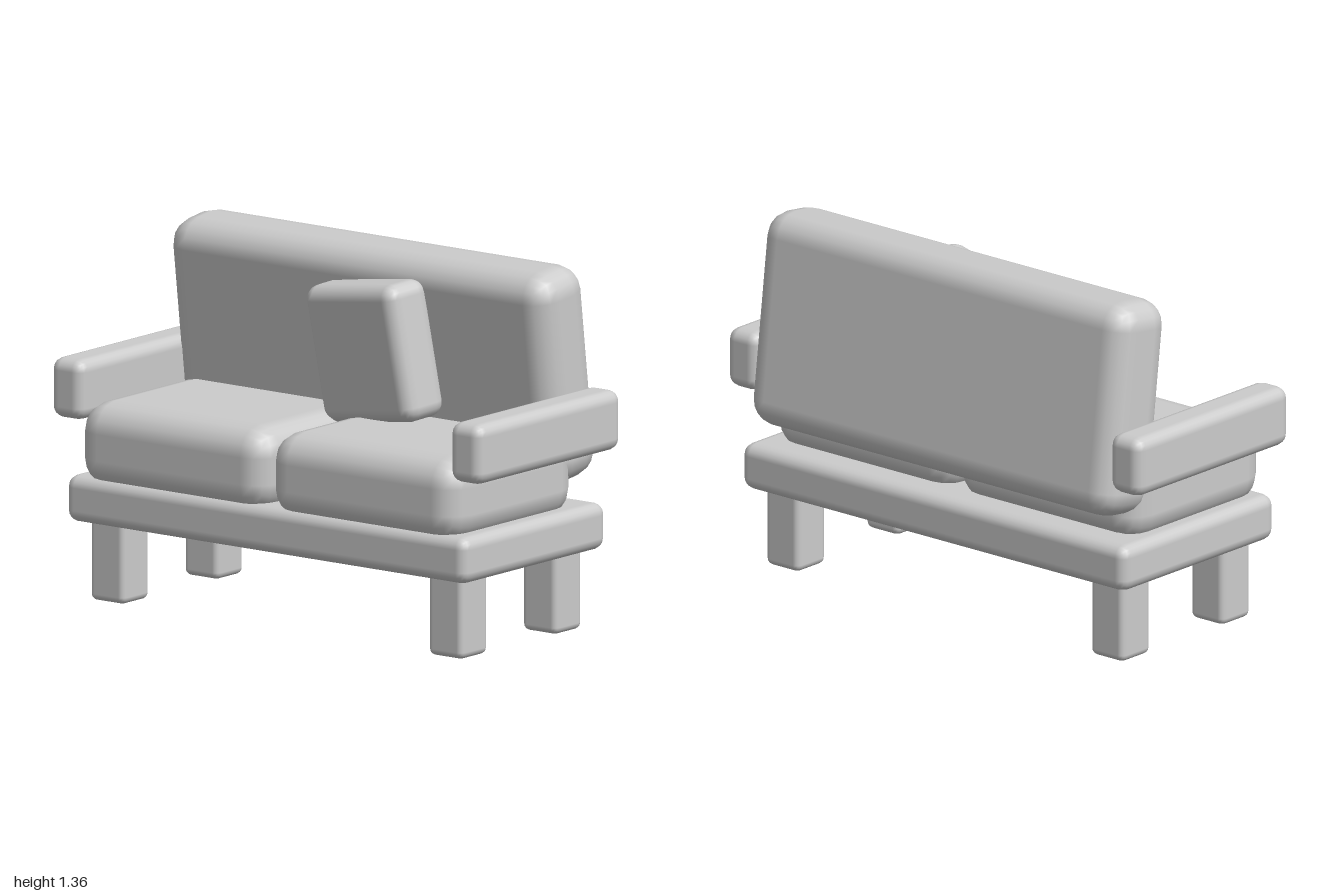
import * as THREE from 'three';
import { RoundedBoxGeometry } from 'three/addons/geometries/RoundedBoxGeometry.js';

const material = new THREE.MeshStandardMaterial({ color: 0xcccccc });

// Rounded block given by its size, corner radius and centre
function block(name, [w, h, d], radius, [x, y, z]) {
  const mesh = new THREE.Mesh(new RoundedBoxGeometry(w, h, d, 2, radius), material);
  mesh.name = name;
  mesh.position.set(x, y, z);
  return mesh;
}

export function createModel() {
  const sofa = new THREE.Group();
  sofa.name = 'sofa';

  // Base platform
  sofa.add(block('base', [1.86, 0.175, 0.85], 0.045, [0, 0.3825, 0.018]));

  // Mirrored parts: legs, seat cushions and armrests
  for (const [side, s] of [['left', 1], ['right', -1]]) {
    sofa.add(block(side + 'FrontLeg', [0.16, 0.33, 0.16], 0.025, [s * 0.785, 0.165, 0.297]));
    sofa.add(block(side + 'BackLeg', [0.16, 0.33, 0.16], 0.025, [s * 0.785, 0.165, -0.26]));
    sofa.add(block(side + 'SeatCushion', [0.885, 0.32, 0.75], 0.11, [s * 0.4425, 0.59, 0.073]));
    sofa.add(block(side + 'Armrest', [0.15, 0.225, 0.85], 0.045, [s * 0.925, 0.7875, 0.018]));
  }

  // Thick back cushion, tipped forward at the top
  const back = block('backrest', [1.77, 0.81, 0.285], 0.1, [0, 0.953, -0.262]);
  back.rotation.x = 0.125;
  sofa.add(back);

  // Loose pillow leaning at an angle
  const pillow = block('pillow', [0.485, 0.515, 0.2], 0.055, [0.125, 0.99, -0.05]);
  pillow.rotation.set(0.075, -0.14, 0.16);
  sofa.add(pillow);

  return sofa;
}
